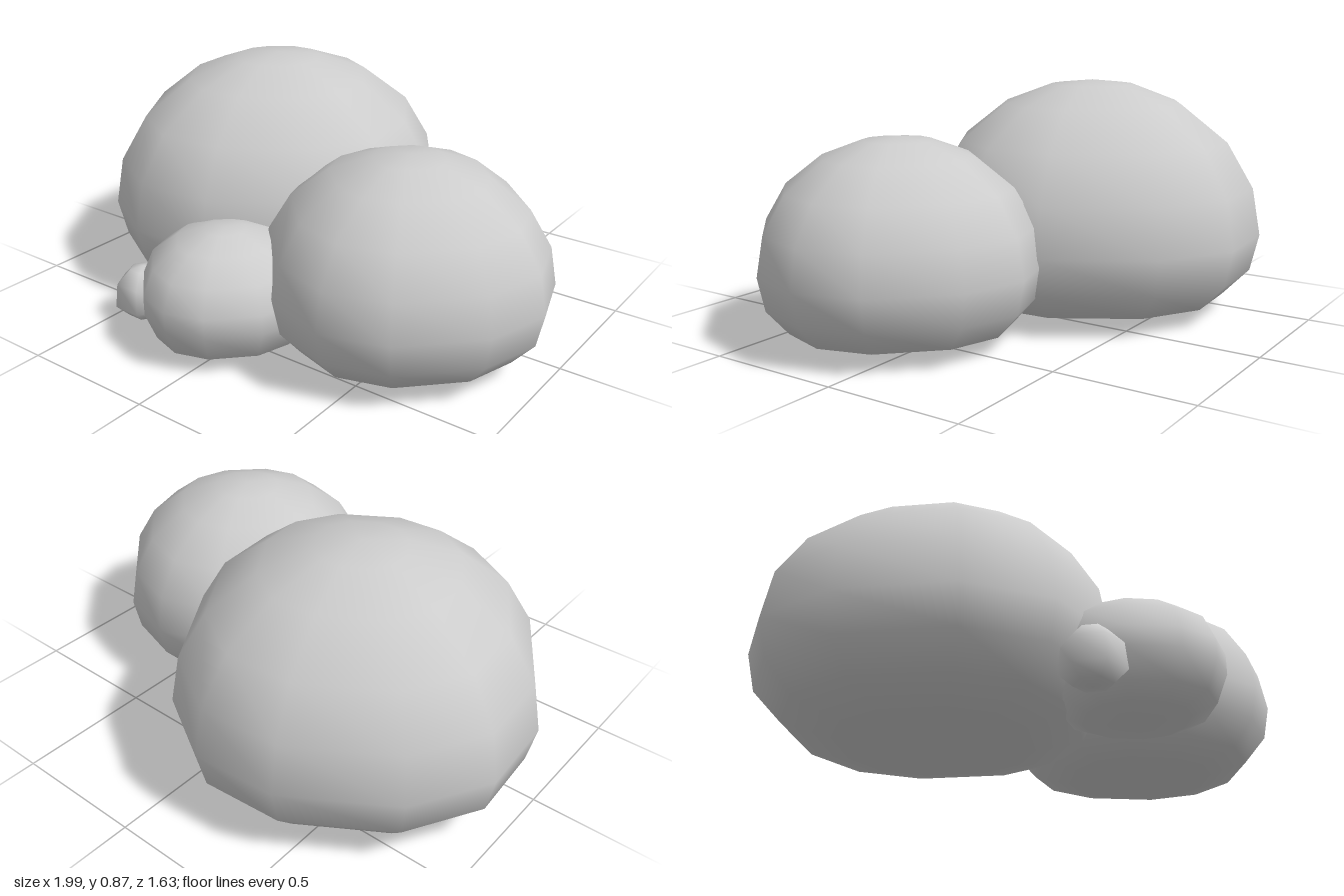
import * as THREE from 'three';
import { mergeVertices } from 'three/addons/utils/BufferGeometryUtils.js';

const stone = new THREE.MeshStandardMaterial({ color: 0xcccccc });
stone.name = 'stoneGrey';

// Profile of the larger boulders as [radius factor, height], from base to top
function domeProfile(radius, equator, top, base) {
  const lower = [[0, 0], [0.53, 0.04], [0.8, 0.19], [0.952, 0.54]];
  const upper = [[1, 0], [0.952, 0.31], [0.8, 0.605], [0.533, 0.845], [0.245, 0.97], [0, 1]];
  return [
    ...lower.map(([r, t]) => [r * radius, base + t * (equator - base)]),
    ...upper.map(([r, t]) => [r * radius, equator + t * (top - equator)]),
  ];
}

// Turned, smooth-shaded boulder; twelve-sided ones are slightly squeezed between the axes
function boulder(name, profile, sides, x, z, turn = 0) {
  const points = profile.map(([r, y]) => new THREE.Vector2(r, y));
  let geometry = new THREE.LatheGeometry(points, sides);
  geometry.deleteAttribute('uv');
  geometry.deleteAttribute('normal');
  if (sides === 12) {
    const p = geometry.attributes.position;
    for (let i = 0; i < p.count; i++) {
      const r = Math.hypot(p.getX(i), p.getZ(i));
      if (r < 1e-6) continue;
      const a = Math.atan2(p.getX(i), p.getZ(i));
      const wave = Math.sin(4 * a) / 0.866;
      const newAngle = a - 0.057 * wave;
      const newRadius = r * (1 - 0.029 * Math.abs(wave));
      p.setX(i, newRadius * Math.sin(newAngle));
      p.setZ(i, newRadius * Math.cos(newAngle));
    }
  }
  geometry = mergeVertices(geometry, 1e-4);
  geometry.computeVertexNormals();
  const mesh = new THREE.Mesh(geometry, stone);
  mesh.name = name;
  mesh.position.set(x, 0, z);
  mesh.rotation.y = turn;
  return mesh;
}

export function createModel() {
  const group = new THREE.Group();
  group.name = 'boulderCluster';

  const smallProfile = [[0, 0.01], [0.18, 0.02], [0.275, 0.06], [0.315, 0.16], [0.315, 0.23],
    [0.275, 0.32], [0.18, 0.39], [0.075, 0.425], [0, 0.43]];
  const pebbleProfile = [[0, 0.01], [0.065, 0.018], [0.11, 0.06], [0.1, 0.15], [0.05, 0.2], [0, 0.21]];

  group.add(
    boulder('largeBoulder', domeProfile(0.682, 0.3, 0.87, 0), 12, -0.335, -0.155, -0.225),
    boulder('mediumBoulder', domeProfile(0.525, 0.27, 0.71, 0.012), 12, 0.47, 0.155),
    boulder('smallBoulder', smallProfile, 12, -0.055, 0.5),
    boulder('pebble', pebbleProfile, 6, -0.398, 0.575, 0.5),
  );
  return group;
}
